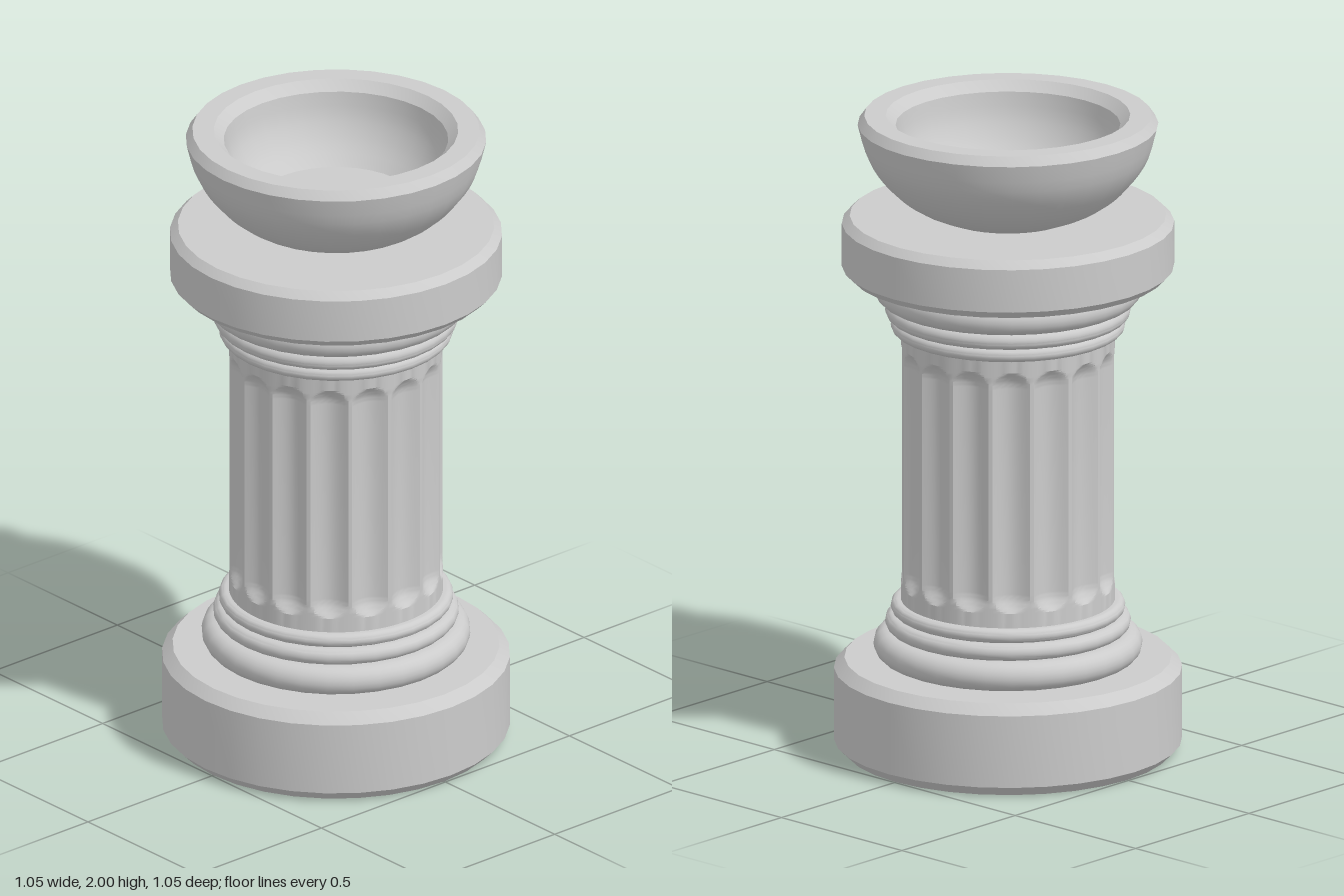
import * as THREE from 'three';
import { toCreasedNormals } from 'three/addons/utils/BufferGeometryUtils.js';

const SIDES = 32;
const material = new THREE.MeshStandardMaterial({ color: 0xcccccc });

function addMesh(group, name, geometry) {
  const mesh = new THREE.Mesh(toCreasedNormals(geometry, 0.5), material);
  mesh.name = name;
  group.add(mesh);
}

// Turned part from [radius, height] pairs, running upwards on the outside
function addTurned(group, name, profile) {
  const points = profile.map(([r, y]) => new THREE.Vector2(r, y));
  addMesh(group, name, new THREE.LatheGeometry(points, SIDES));
}

// Round slab with chamfered edges
function addSlab(group, name, r, y0, y1, c) {
  addTurned(group, name, [[0, y0], [r - c, y0], [r, y0 + c], [r, y1 - c], [r - c, y1], [0, y1]]);
}

// Half-round ring moulding
function addBead(group, name, r, y0, y1) {
  const h = (y1 - y0) / 2, profile = [[0.3, y0]];
  for (let i = 0; i <= 10; i++) {
    const a = -Math.PI / 2 + (Math.PI * i) / 10;
    profile.push([r - h + h * Math.cos(a), (y0 + y1) / 2 + h * Math.sin(a)]);
  }
  addTurned(group, name, [...profile, [0.3, y1]]);
}

// Column shaft: a grid of points pushed inwards along round-ended flutes
function shaftGeometry() {
  const R = 0.324, depth = 0.026, flutes = 16, halfWidth = 0.178;
  const low = 0.52, high = 1.28, endLength = 0.055;
  const rows = [0.29], us = [], steps = 10;
  for (let i = 0; i <= 8; i++) rows.push(low + (endLength * i) / 8);
  for (let i = 8; i >= 0; i--) rows.push(high - (endLength * i) / 8);
  rows.push(1.505);
  for (let i = 0; i <= steps; i++) us.push((2 * i) / steps - 1);

  const positions = [], indices = [], cols = flutes * us.length;
  for (const y of rows) {
    const v = Math.max(0, low + endLength - y, y - high + endLength) / endLength;
    for (let f = 0; f < flutes; f++) {
      for (const u of us) {
        const a = (f * 2 * Math.PI) / flutes + u * halfWidth;
        const r = R - depth * Math.max(0, 1 - u * u - v * v);
        positions.push(r * Math.sin(a), y, r * Math.cos(a));
      }
    }
  }
  for (let j = 0; j < rows.length - 1; j++) {
    for (let i = 0; i < cols; i++) {
      const a = j * cols + i, b = j * cols + ((i + 1) % cols);
      indices.push(a, b, b + cols, a, b + cols, a + cols);
    }
  }
  const geometry = new THREE.BufferGeometry();
  geometry.setAttribute('position', new THREE.Float32BufferAttribute(positions, 3));
  geometry.setIndex(indices);
  return geometry;
}

// Hollow bowl: curved outside, chamfered rim, curved inside, flat floor
function bowlProfile() {
  const outside = new THREE.SplineCurve([
    [0.2, 1.685], [0.29, 1.725], [0.365, 1.785], [0.425, 1.87], [0.455, 1.972],
  ].map((p) => new THREE.Vector2(...p)));
  const inside = new THREE.SplineCurve([
    [0.34, 1.97], [0.325, 1.895], [0.29, 1.825], [0.24, 1.765],
  ].map((p) => new THREE.Vector2(...p)));
  const list = (curve, n) => curve.getPoints(n).map((p) => [p.x, p.y]);
  return [[0, 1.68], [0.19, 1.68], ...list(outside, 14), [0.435, 2], [0.37, 2], ...list(inside, 10), [0, 1.765]];
}

export function createModel() {
  const group = new THREE.Group();
  group.name = 'pedestalBowl';

  addSlab(group, 'base', 0.527, 0, 0.29, 0.032);
  addSlab(group, 'capital', 0.503, 1.503, 1.685, 0.024);
  addMesh(group, 'flutedShaft', shaftGeometry());

  // Ring mouldings, mirrored at both ends of the shaft
  const mirror = 1.795;
  [[0.407, 0.29, 0.38], [0.372, 0.38, 0.432], [0.355, 0.432, 0.475]].forEach(([r, y0, y1], i) => {
    addBead(group, `lowerRing${i + 1}`, r, y0, y1);
    addBead(group, `upperRing${i + 1}`, r, mirror - y1, mirror - y0);
  });

  addTurned(group, 'bowl', bowlProfile());
  return group;
}
